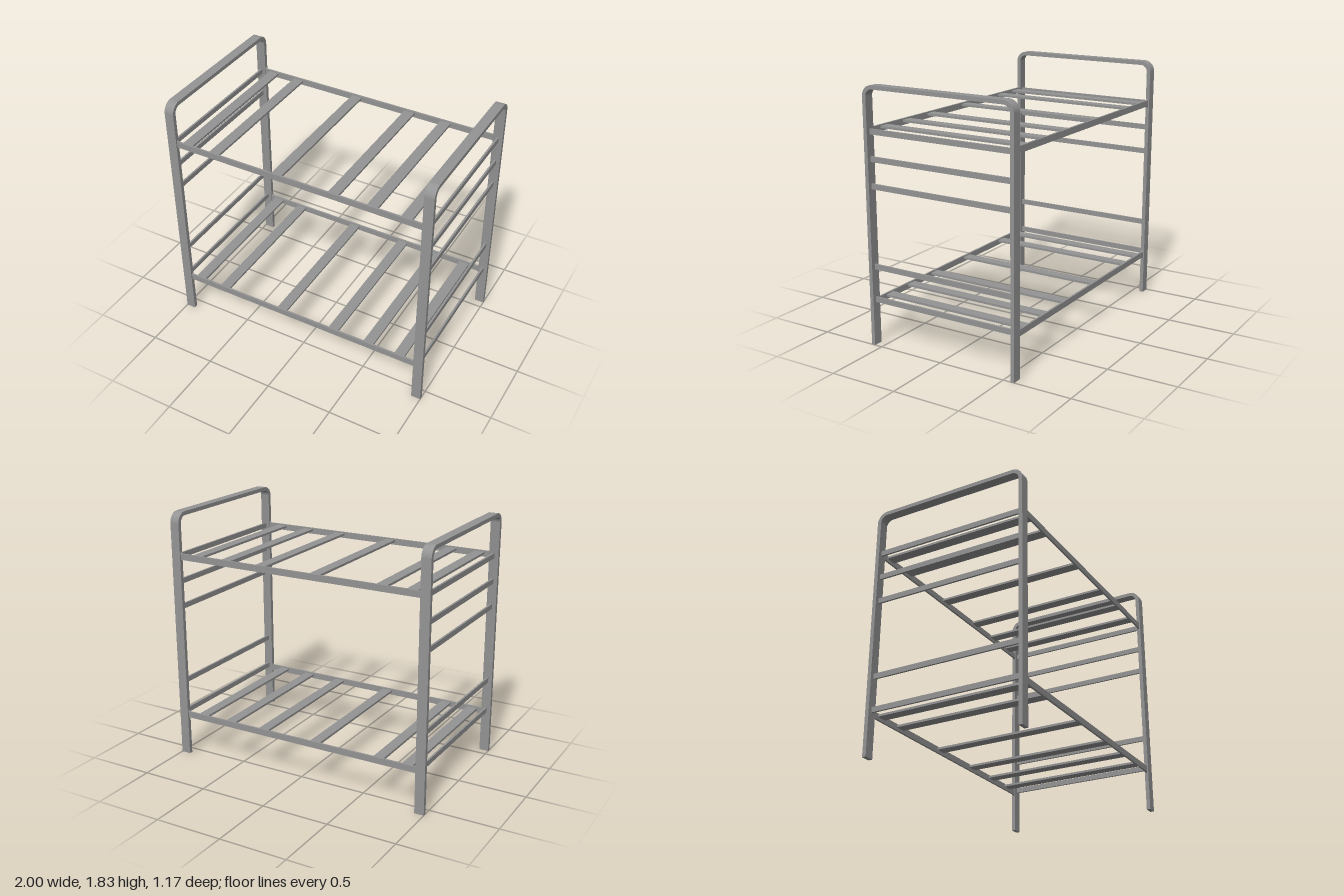
import * as THREE from 'three';
import { toCreasedNormals } from 'three/addons/utils/BufferGeometryUtils.js';

const material = new THREE.MeshStandardMaterial({ color: 0x949494 });

const HEIGHT = 1.83, HALF_DEPTH = 0.585, BAR = 0.028; // end frame outline and bar thickness
const POST_WIDTH = 0.07, INNER_X = 1 - POST_WIDTH;

function addMesh(parent, name, geometry, x = 0, y = 0, z = 0) {
  const mesh = new THREE.Mesh(geometry, material);
  mesh.name = name;
  mesh.position.set(x, y, z);
  parent.add(mesh);
}

// Flat bar bent into an arch: up one post, over the top and down the other
function endFrameGeometry() {
  const w = HALF_DEPTH, h = HEIGHT, r = 0.078, wi = w - BAR, hi = h - BAR, ri = r - BAR;
  const s = new THREE.Shape();
  s.moveTo(w, 0);
  s.lineTo(w, h - r);
  s.absarc(w - r, h - r, r, 0, Math.PI / 2, false);
  s.lineTo(-w + r, h);
  s.absarc(-w + r, h - r, r, Math.PI / 2, Math.PI, false);
  s.lineTo(-w, 0);
  s.lineTo(-wi, 0);
  s.lineTo(-wi, hi - ri);
  s.absarc(-wi + ri, hi - ri, ri, Math.PI, Math.PI / 2, true);
  s.lineTo(wi - ri, hi);
  s.absarc(wi - ri, hi - ri, ri, Math.PI / 2, 0, true);
  s.lineTo(wi, 0);
  const g = new THREE.ExtrudeGeometry(s, { depth: POST_WIDTH, bevelEnabled: false, curveSegments: 12 });
  g.translate(0, 0, -POST_WIDTH / 2).rotateY(Math.PI / 2);
  return toCreasedNormals(g, 0.6);
}

// Thin side rail with small weld fillets flaring into the posts
function railGeometry() {
  const x = INNER_X, h = 0.0225, f = 0.014, depth = 0.014;
  const s = new THREE.Shape();
  s.moveTo(-x, -h - f);
  s.quadraticCurveTo(-x, -h, -x + f, -h);
  s.lineTo(x - f, -h);
  s.quadraticCurveTo(x, -h, x, -h - f);
  s.lineTo(x, h + f);
  s.quadraticCurveTo(x, h, x - f, h);
  s.lineTo(-x + f, h);
  s.quadraticCurveTo(-x, h, -x, h + f);
  s.closePath();
  const g = new THREE.ExtrudeGeometry(s, { depth, bevelEnabled: false, curveSegments: 5 });
  g.translate(0, 0, -depth / 2);
  return toCreasedNormals(g, 0.6);
}

export function createModel() {
  const model = new THREE.Group();
  model.name = 'bunkBedFrame';

  // End frames with their cross rungs
  const frame = endFrameGeometry();
  const rung = new THREE.BoxGeometry(0.014, 0.038, 2 * (HALF_DEPTH - BAR));
  for (const side of [-1, 1]) {
    const end = new THREE.Group();
    end.name = side > 0 ? 'leftEnd' : 'rightEnd';
    end.position.x = side * (1 - POST_WIDTH / 2);
    addMesh(end, 'endFrame', frame);
    for (const y of [0.331, 0.57, 1.138, 1.326, 1.514]) addMesh(end, 'endRung', rung, 0, y);
    model.add(end);
  }

  // Two bunks: a pair of side rails carrying unevenly spaced slats
  const rail = railGeometry();
  const railZ = 0.569;
  const slat = new THREE.BoxGeometry(0.077, 0.016, 2 * (railZ - 0.007));
  for (const [name, y] of [['lowerBunk', 0.313], ['upperBunk', 1.517]]) {
    const bunk = new THREE.Group();
    bunk.name = name;
    bunk.position.y = y;
    for (const side of [-1, 1]) addMesh(bunk, side > 0 ? 'frontRail' : 'backRail', rail, 0, 0, side * railZ);
    for (const x of [-0.855, -0.639, -0.142, 0.286, 0.568, 0.81]) addMesh(bunk, 'slat', slat, x, 0.006);
    model.add(bunk);
  }
  return model;
}
